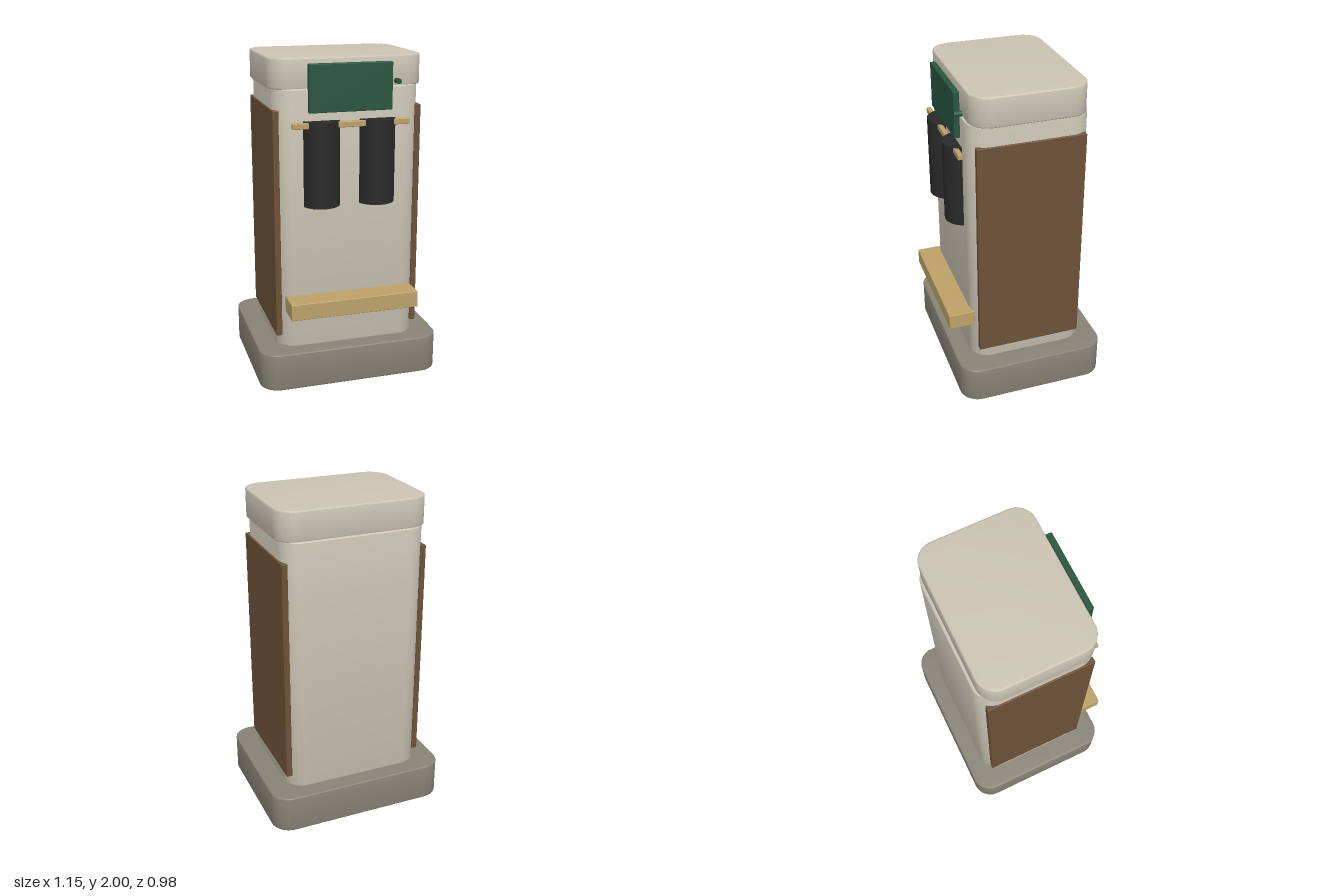
import * as THREE from 'three';
import { toCreasedNormals } from 'three/addons/utils/BufferGeometryUtils.js';
import { RoundedBoxGeometry } from 'three/addons/geometries/RoundedBoxGeometry.js';

const paint = (name, color) => {
  const m = new THREE.MeshStandardMaterial({ color });
  m.name = name;
  return m;
};

// Upright block with rounded plan corners and a small bevel, spanning y0..y1
function roundedBlock(halfX, zBack, zFront, y0, y1, r, bevel) {
  const x = halfX, a = -zFront, b = -zBack;
  const s = new THREE.Shape();
  s.moveTo(-x + r, a);
  s.lineTo(x - r, a);
  s.absarc(x - r, a + r, r, -Math.PI / 2, 0);
  s.absarc(x - r, b - r, r, 0, Math.PI / 2);
  s.absarc(-x + r, b - r, r, Math.PI / 2, Math.PI);
  s.absarc(-x + r, a + r, r, Math.PI, Math.PI * 1.5);
  const g = new THREE.ExtrudeGeometry(s, {
    depth: y1 - y0 - 2 * bevel, bevelEnabled: true, bevelSize: bevel,
    bevelThickness: bevel, bevelOffset: -bevel, bevelSegments: 3, curveSegments: 10,
  });
  g.rotateX(-Math.PI / 2).translate(0, y0 + bevel, 0);
  return toCreasedNormals(g, 0.6);
}

// Softened box given by its limits on each axis
function box(x0, x1, y0, y1, z0, z1, r = 0.005) {
  const g = new RoundedBoxGeometry(x1 - x0, y1 - y0, z1 - z0, 2, r);
  return g.translate((x0 + x1) / 2, (y0 + y1) / 2, (z0 + z1) / 2);
}

export function createModel() {
  const model = new THREE.Group();
  const stone = paint('pale stone', 0xcbc4b4);
  const concrete = paint('grey concrete', 0x878376);
  const wood = paint('brown wood', 0x6d5238);
  const tan = paint('tan wood', 0xbca268);
  const green = paint('dark green', 0x28563f);
  const black = paint('black cloth', 0x29292a);

  const add = (name, geometry, material) => {
    const mesh = new THREE.Mesh(geometry, material);
    mesh.name = name;
    model.add(mesh);
  };

  // Pedestal, column and cap
  add('base', roundedBlock(0.573, -0.49, 0.45, 0, 0.235, 0.12, 0.008), concrete);
  add('column', roundedBlock(0.446, -0.385, 0.345, 0.23, 1.825, 0.12, 0.008), stone);
  add('cap', roundedBlock(0.468, -0.368, 0.332, 1.82, 2, 0.12, 0.008), stone);

  // Side panels
  add('leftPanel', box(0.418, 0.455, 0.303, 1.7, -0.348, 0.311), wood);
  add('rightPanel', box(-0.455, -0.418, 0.303, 1.7, -0.348, 0.311), wood);

  // Front shelf and hanging rail
  add('shelf', box(-0.4, 0.4, 0.468, 0.57, 0.325, 0.488), tan);
  add('rail', box(-0.355, 0.355, 1.6, 1.635, 0.36, 0.39), tan);

  // Hanging rolls, half sunk into the column
  for (const [name, x] of [['leftRoll', 0.17], ['rightRoll', -0.172]]) {
    const g = new THREE.CylinderGeometry(0.115, 0.115, 0.51, 40);
    add(name, g.translate(x, 1.383, 0.315), black);
  }

  // Sign plate and its small knob
  add('signPlate', box(-0.254, 0.25, 1.688, 1.968, 0.343, 0.379), green);
  const knob = new THREE.CylinderGeometry(0.016, 0.016, 0.045, 20);
  add('knob', knob.rotateX(Math.PI / 2).translate(0.285, 1.852, 0.365), green);

  return model;
}
